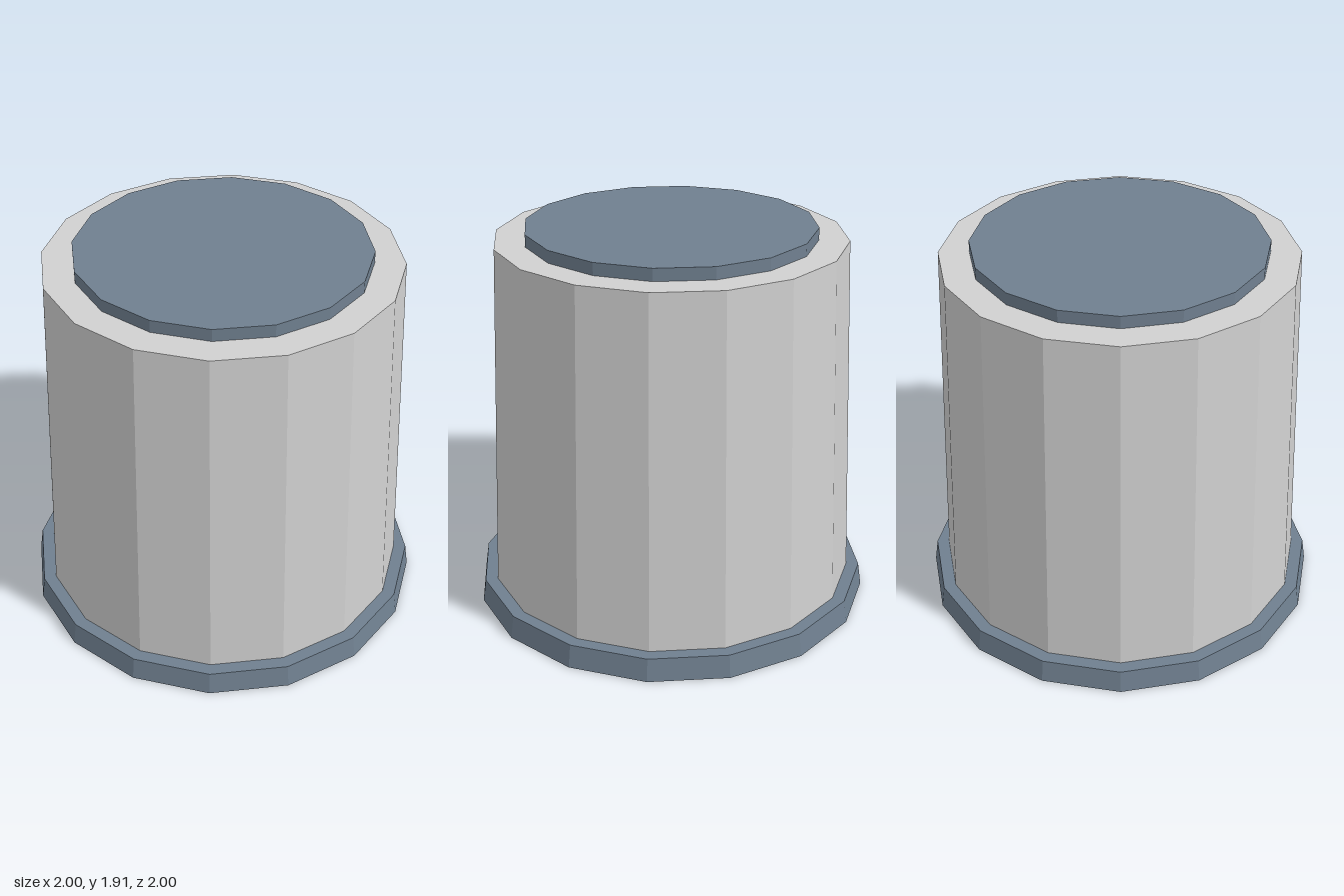
import * as THREE from 'three';

const SIDES = 16;
const lightGrey = new THREE.MeshStandardMaterial({ color: 0xd0d0d0, flatShading: true });
lightGrey.name = 'lightGrey';
const slate = new THREE.MeshStandardMaterial({ color: 0x708090, flatShading: true });
slate.name = 'slate';

// Upright faceted drum from y0 to y1
function drum(name, rTop, rBottom, y0, y1, material) {
  const geometry = new THREE.CylinderGeometry(rTop, rBottom, y1 - y0, SIDES);
  geometry.translate(0, (y0 + y1) / 2, 0);
  const mesh = new THREE.Mesh(geometry, material);
  mesh.name = name;
  return mesh;
}

export function createModel() {
  const model = new THREE.Group();
  model.name = 'taperedDrum';

  // Tapered body and the raised disc on its top
  model.add(drum('body', 0.85, 0.925, 0, 1.855, lightGrey));
  model.add(drum('topDisc', 0.703, 0.703, 1.855, 1.915, slate));

  // Collar around the foot of the body, leaving its underside open
  const profile = [[0.925, 0], [1, 0], [0.983, 0.115], [0.918, 0.115]]
    .map(([r, y]) => new THREE.Vector2(r, y));
  const collar = new THREE.Mesh(new THREE.LatheGeometry(profile, SIDES), slate);
  collar.name = 'baseCollar';
  model.add(collar);

  return model;
}
